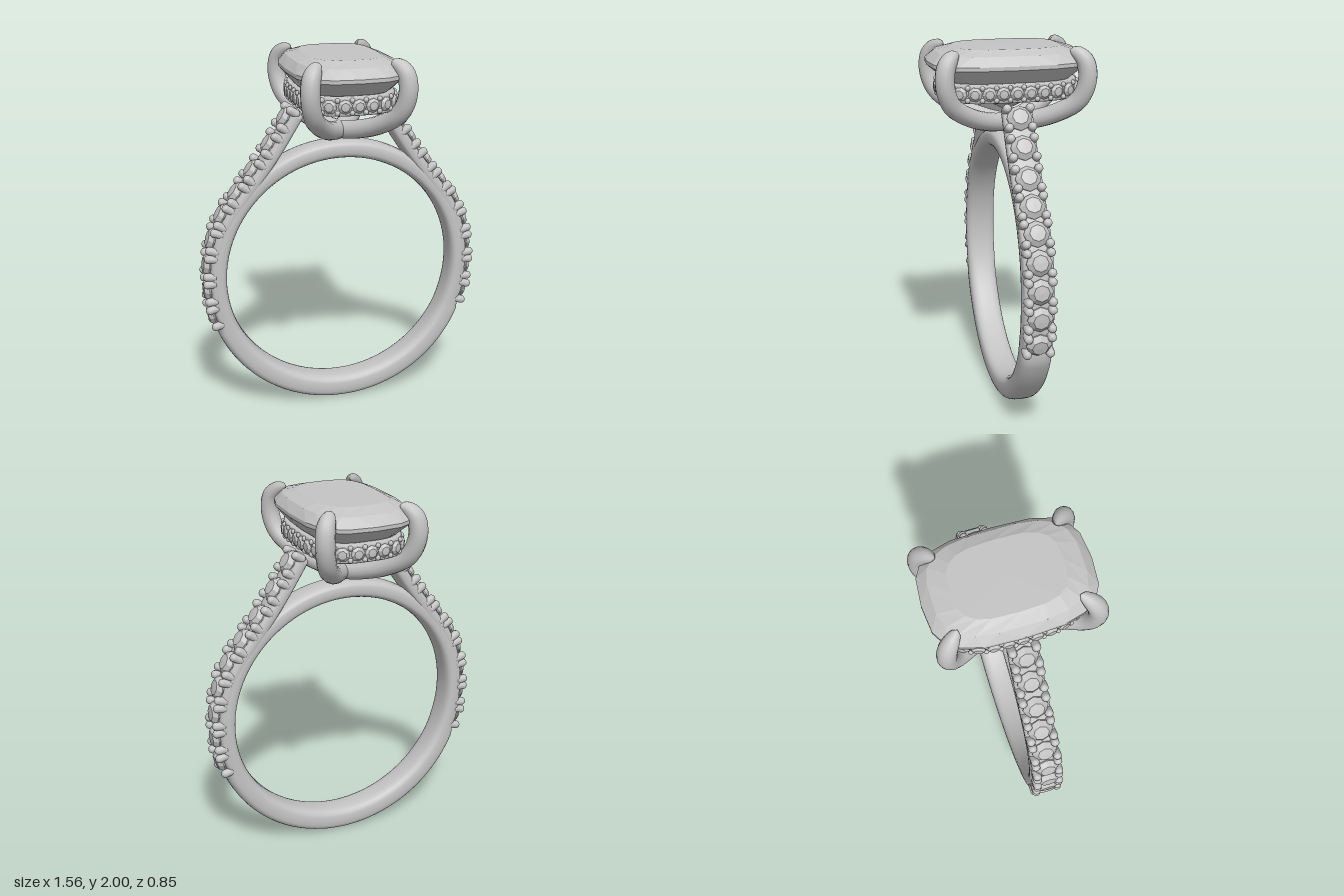
import * as THREE from 'three';

const silver = new THREE.MeshStandardMaterial({ color: 0xc4c4c4 });
silver.name = 'silver';
const V = (x, y, z = 0) => new THREE.Vector3(x, y, z);
const UP = V(0, 1, 0);

function add(parent, name, geometry) {
  const mesh = new THREE.Mesh(geometry, silver);
  mesh.name = name;
  parent.add(mesh);
  return mesh;
}

// Skin a list of closed cross-sections
function loft(rings, closed = false) {
  const n = rings[0].length, m = rings.length, index = [];
  for (let i = 0; i < (closed ? m : m - 1); i++) {
    for (let j = 0; j < n; j++) {
      const a = i * n + j, b = ((i + 1) % m) * n + j;
      const c = i * n + (j + 1) % n, d = ((i + 1) % m) * n + (j + 1) % n;
      index.push(a, b, c, c, b, d);
    }
  }
  const g = new THREE.BufferGeometry().setFromPoints(rings.flat());
  g.setIndex(index);
  g.computeVertexNormals();
  return g;
}

function faceted(geometry) {
  const g = geometry.toNonIndexed();
  g.computeVertexNormals();
  return g;
}

const soft = (v, e) => Math.sign(v) * Math.abs(v) ** (2 / e);

// Rounded-box section: half height h along n, half width w along side
function section(p, n, side, h, w, e = 3, count = 24) {
  return Array.from({ length: count }, (_, j) => {
    const t = j / count * Math.PI * 2;
    return p.clone().addScaledVector(n, h * soft(Math.cos(t), e))
      .addScaledVector(side, w * soft(Math.sin(t), e));
  });
}

// Cushion outline in the horizontal plane
function cushion(a, b, y, count, shift = 0, e = 3.2) {
  return Array.from({ length: count }, (_, j) => {
    const t = (j + shift) / count * Math.PI * 2;
    return V(a * soft(Math.cos(t), e), y, b * soft(Math.sin(t), e));
  });
}

// Small round-cut gem, table facing +y
function gemGeometry(r) {
  const profile = [[0, -0.5], [1, -0.05], [1, 0.05], [0.62, 0.42], [0, 0.46]]
    .map(([x, y]) => new THREE.Vector2(x * r, y * r));
  return faceted(new THREE.LatheGeometry(profile, 8));
}

// Circular band, thicker at the base
function makeBand() {
  const rings = [];
  for (let i = 0; i < 120; i++) {
    const a = i / 120 * Math.PI * 2, s = Math.sin(a);
    const n = V(Math.cos(a), s);
    const thick = 0.088 + 0.025 * THREE.MathUtils.smoothstep(-s, 0.3, 0.42)
      + 0.02 * Math.max(0, -s) + 0.012 * Math.max(0, s);
    const p = n.clone().multiplyScalar(0.645 + thick / 2).add(V(0, 0.785));
    rings.push(section(p, n, V(0, 0, 1), thick / 2, 0.085 - 0.008 * Math.max(0, s)));
  }
  return loft(rings, true);
}

// Shoulder carrying nine set gems
function makeShoulder() {
  const g = new THREE.Group();
  const path = new THREE.CatmullRomCurve3([
    [0.715, 0.49], [0.755, 0.575], [0.775, 0.73], [0.773, 0.88], [0.745, 1.03], [0.685, 1.17],
    [0.6, 1.29], [0.51, 1.41], [0.415, 1.545], [0.33, 1.68], [0.29, 1.745]
  ].map(([x, y]) => V(x, y)));
  const frame = u => {
    const t = path.getTangent(u);
    return { p: path.getPoint(u), t, n: V(t.y, -t.x) };
  };
  const rings = [];
  for (let i = 0; i <= 70; i++) {
    const u = i / 70, { p, n } = frame(u);
    const end = Math.sqrt(Math.min(1, Math.min(u, 1 - u) * 25));
    rings.push(section(p.addScaledVector(n, -0.0725), n, V(0, 0, 1), 0.0375 * end, 0.081 * end));
  }
  add(g, 'shoulderCore', loft(rings));

  const gem = gemGeometry(0.068);
  const claw = new THREE.CapsuleGeometry(0.021, 0.04, 4, 10);
  for (let i = 1; i <= 9; i++) {
    const { p, t, n } = frame(i / 10);
    const turn = new THREE.Quaternion().setFromUnitVectors(UP, n);
    const stone = add(g, 'shoulderGem', gem);
    stone.position.copy(p).addScaledVector(n, -0.033);
    stone.quaternion.copy(turn);
    for (const st of [-1, 1]) for (const sz of [-1, 1]) {
      const c = add(g, 'shoulderClaw', claw);
      c.position.copy(p).addScaledVector(n, -0.04).addScaledVector(t, st * 0.051);
      c.position.z = sz * 0.061;
      c.quaternion.copy(turn);
      c.scale.set(1.1, 1, 1.1);
    }
  }
  return g;
}

// Large cushion-cut stone
function makeStone() {
  const levels = [[0, 1.645], [0.42, 1.74], [0.8, 1.835], [1, 1.905], [1, 1.925],
    [0.88, 1.972], [0.66, 1.998], [0, 2]];
  return faceted(loft(levels.map(([s, y], i) =>
    cushion(0.295 * s, 0.425 * s, y, 20, i === 3 || i === 4 ? 0 : (i % 2) / 2))));
}

// Gem-set rail below the stone
function makeHalo() {
  const g = new THREE.Group();
  const loop = new THREE.CatmullRomCurve3(cushion(0.235, 0.345, 1.78, 32), true);
  const frame = u => {
    const t = loop.getTangentAt(u);
    return { p: loop.getPointAt(u), n: V(t.z, 0, -t.x) };
  };
  const rings = [];
  for (let i = 0; i < 96; i++) {
    const { p, n } = frame(i / 96);
    rings.push(section(p, n, V(0, -1, 0), 0.02, 0.05, 6, 16));
  }
  add(g, 'haloRail', loft(rings, true));
  const gem = gemGeometry(0.037), bead = new THREE.SphereGeometry(0.014, 8, 6);
  const count = 28;
  for (let i = 0; i < count; i++) {
    const f = frame(i / count), between = frame((i + 0.5) / count);
    const stone = add(g, 'haloGem', gem);
    stone.position.copy(f.p).addScaledVector(f.n, 0.02);
    stone.quaternion.setFromUnitVectors(UP, f.n);
    for (const sy of [-1, 1]) {
      const b = add(g, 'haloBead', bead);
      b.position.copy(between.p).addScaledVector(between.n, 0.021);
      b.position.y += sy * 0.032;
    }
  }
  return g;
}

// Corner prong: a tube rising from the base and tapering over the stone
function makeProng(sx, sz) {
  const path = new THREE.CatmullRomCurve3([
    [0, 1.58, 0], [0.07, 1.598, 0.1], [0.155, 1.645, 0.225], [0.228, 1.725, 0.335],
    [0.255, 1.83, 0.374], [0.248, 1.925, 0.366], [0.222, 1.967, 0.335], [0.188, 1.985, 0.298]
  ].map(([x, y, z]) => V(x * sx, y, z * sz)));
  const steps = 48, sides = 14;
  const g = new THREE.TubeGeometry(path, steps, 0.05, sides);
  const pos = g.attributes.position, v = V(0, 0, 0);
  for (let i = 0; i <= steps; i++) {
    const u = i / steps, c = path.getPointAt(u);
    const k = u < 0.82 ? 1 : Math.sqrt(Math.max(0, 1 - ((u - 0.82) / 0.18) ** 2));
    for (let j = 0; j <= sides; j++) {
      const id = i * (sides + 1) + j;
      v.fromBufferAttribute(pos, id).sub(c).multiplyScalar(k).add(c);
      pos.setXYZ(id, v.x, v.y, v.z);
    }
  }
  return g;
}

export function createModel() {
  const ring = new THREE.Group();
  ring.name = 'ring';
  add(ring, 'band', makeBand());
  for (const side of ['left', 'right']) {
    const shoulder = makeShoulder();
    shoulder.name = side + 'Shoulder';
    if (side === 'right') shoulder.rotation.y = Math.PI;
    ring.add(shoulder);
  }
  const halo = makeHalo();
  halo.name = 'halo';
  ring.add(halo);
  add(ring, 'centreStone', makeStone());
  for (const sx of [-1, 1]) for (const sz of [-1, 1]) add(ring, 'prong', makeProng(sx, sz));
  return ring;
}
